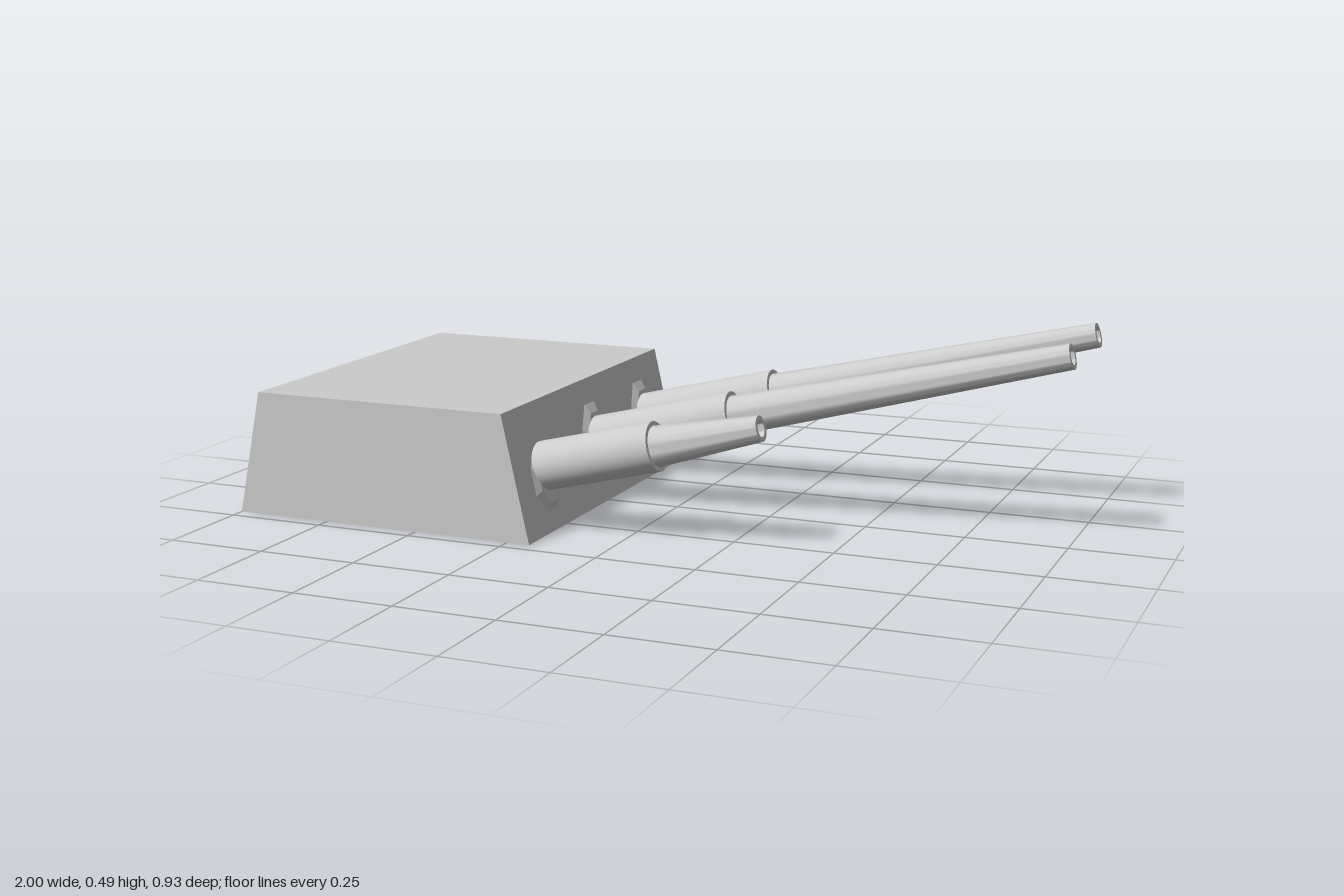
import * as THREE from 'three';
import { toCreasedNormals } from 'three/addons/utils/BufferGeometryUtils.js';

const grey = new THREE.MeshStandardMaterial({ color: 0xcccccc });
const facet = new THREE.MeshStandardMaterial({ color: 0xcccccc, flatShading: true });
const ELEVATION = Math.atan(0.25);
const WALL_LEAN = Math.atan2(0.07, 0.313);

// Armoured house: trapezoid profile extruded across z
function makeHouse() {
  const profile = new THREE.Shape([[-1, 0], [-0.19, 0], [-0.26, 0.313], [-0.935, 0.313]]
    .map(([x, y]) => new THREE.Vector2(x, y)));
  const geometry = new THREE.ExtrudeGeometry(profile, { depth: 0.926, bevelEnabled: false });
  geometry.translate(0, 0, -0.463);
  const house = new THREE.Mesh(geometry, facet);
  house.name = 'turretHouse';
  return house;
}

// Stepped, tapering gun with a hollow muzzle
function makeGun(sleeve, length) {
  const points = [
    [0, 0], [0.061, 0], [0.061, sleeve], [0.05, sleeve],
    [0.031, length], [0.02, length], [0.02, length - 0.04], [0, length - 0.04],
  ].map(([r, t]) => new THREE.Vector2(r, t));
  const geometry = toCreasedNormals(new THREE.LatheGeometry(points, 32), 0.6);
  const gun = new THREE.Mesh(geometry, grey);
  gun.rotation.z = ELEVATION - Math.PI / 2;
  gun.position.set(-0.3, 0.138, 0);
  gun.name = 'gunBarrel';
  return gun;
}

// Shallow faceted boot lying on the sloping front wall
function makeBoot(height) {
  const geometry = new THREE.CylinderGeometry(0.6, 1, 0.02, 8);
  geometry.rotateY(Math.PI / 8);
  geometry.scale(height, 1, 0.092);
  const boot = new THREE.Mesh(geometry, facet);
  boot.rotation.z = WALL_LEAN - Math.PI / 2;
  const y = 0.025 + height * 0.95;
  boot.position.set(-0.19 - y * 0.07 / 0.313, y, 0);
  boot.name = 'gunBoot';
  return boot;
}

export function createModel() {
  const model = new THREE.Group();
  model.name = 'gunTurret';
  model.add(makeHouse());

  // Two run-out guns and one recoiled gun
  const guns = [
    { name: 'rightGun', z: -0.308, sleeve: 0.469, length: 1.332, boot: 0.135 },
    { name: 'middleGun', z: 0, sleeve: 0.469, length: 1.332, boot: 0.135 },
    { name: 'leftRecoiledGun', z: 0.308, sleeve: 0.387, length: 0.657, boot: 0.11 },
  ];
  for (const g of guns) {
    const mount = new THREE.Group();
    mount.name = g.name;
    mount.position.z = g.z;
    mount.add(makeGun(g.sleeve, g.length), makeBoot(g.boot));
    model.add(mount);
  }
  return model;
}
